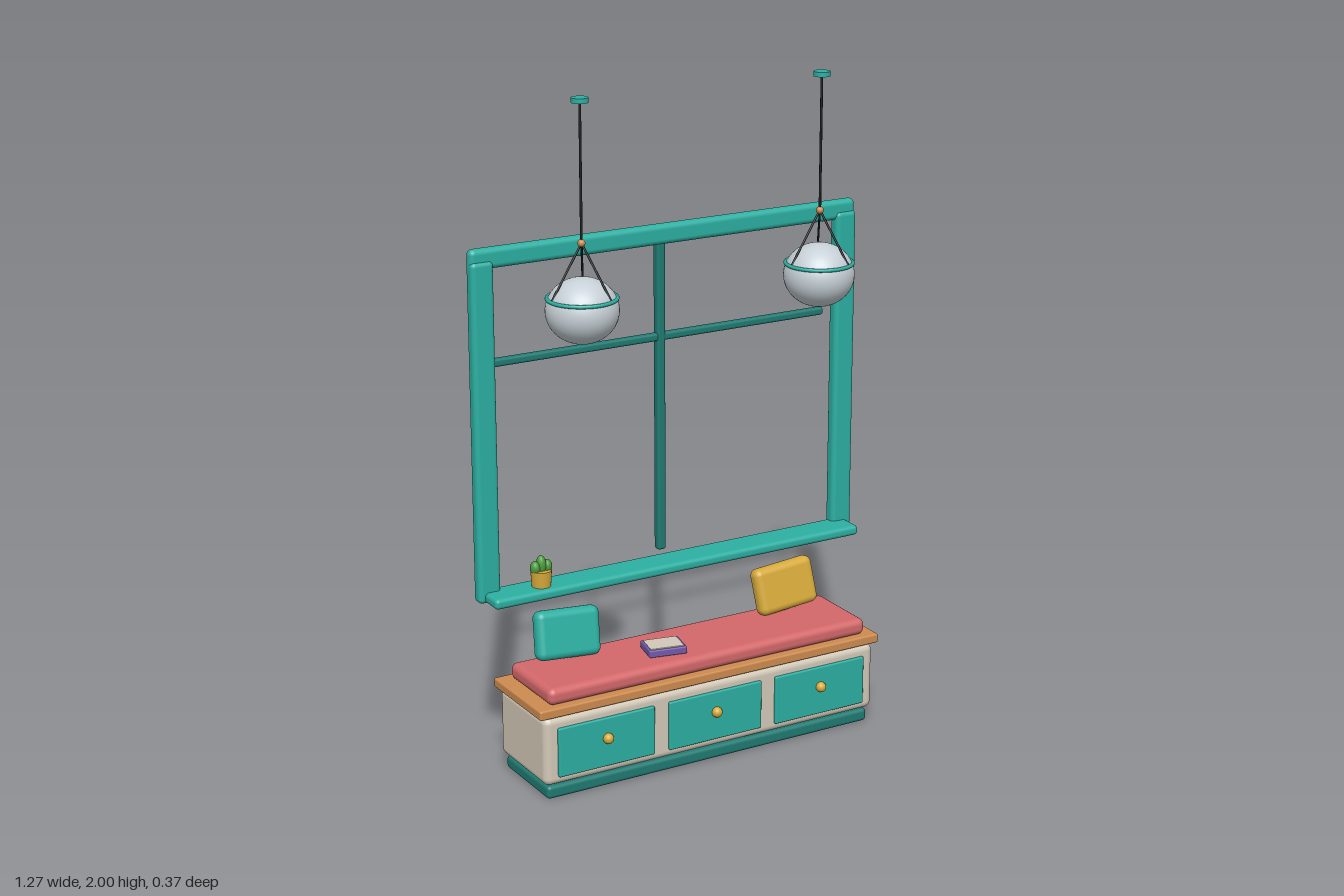
import * as THREE from 'three';
import { RoundedBoxGeometry } from 'three/addons/geometries/RoundedBoxGeometry.js';

const mat = (name, color) => {
  const m = new THREE.MeshStandardMaterial({ color });
  m.name = name;
  return m;
};

export function createModel() {
  const teal = mat('teal', 0x2cb0a2), darkTeal = mat('dark teal', 0x1f7a72);
  const cream = mat('cream', 0xd3c9b8), wood = mat('wood', 0xcd8b50);
  const coral = mat('coral', 0xd4686a), mustard = mat('mustard', 0xd6a93a);
  const purple = mat('purple', 0x7058a8), green = mat('green', 0x4a9a3c);
  const black = mat('black', 0x1c2024), glass = mat('pale grey', 0xc6d0d6);

  const model = new THREE.Group();
  const add = (parent, name, geometry, material, x = 0, y = 0, z = 0) => {
    const mesh = new THREE.Mesh(geometry, material);
    mesh.name = name;
    mesh.position.set(x, y, z);
    parent.add(mesh);
    return mesh;
  };
  // Rounded box given by its extents on each axis
  const block = (parent, name, material, [x0, x1], [y0, y1], [z0, z1], r) =>
    add(parent, name, new RoundedBoxGeometry(x1 - x0, y1 - y0, z1 - z0, 4, r), material,
      (x0 + x1) / 2, (y0 + y1) / 2, (z0 + z1) / 2);
  // Thin straight rod between two points
  const rod = (parent, name, a, b, r) => {
    const d = b.clone().sub(a);
    const m = add(parent, name, new THREE.CylinderGeometry(r, r, d.length(), 8), black);
    m.position.copy(a).add(b).multiplyScalar(0.5);
    m.quaternion.setFromUnitVectors(new THREE.Vector3(0, 1, 0), d.normalize());
  };
  const group = (name) => {
    const g = new THREE.Group();
    g.name = name;
    model.add(g);
    return g;
  };

  // Bench with three drawers
  const bench = group('bench');
  block(bench, 'plinth', darkTeal, [-0.548, 0.548], [0, 0.04], [-0.13, 0.132], 0.012);
  block(bench, 'cabinet', cream, [-0.56, 0.56], [0.045, 0.255], [-0.14, 0.143], 0.022);
  block(bench, 'benchTop', wood, [-0.575, 0.575], [0.255, 0.284], [-0.146, 0.146], 0.006);
  block(bench, 'seatCushion', coral, [-0.537, 0.537], [0.284, 0.335], [-0.117, 0.132], 0.02);
  for (const x of [-0.363, 0, 0.363]) {
    block(bench, 'drawerFront', teal, [x - 0.157, x + 0.157], [0.072, 0.222], [0.13, 0.152], 0.004);
    add(bench, 'drawerKnob', new THREE.SphereGeometry(0.016, 20, 14), mustard, x, 0.16, 0.156);
  }

  // Throw cushions leaning back
  for (const s of [-1, 1]) {
    const pillow = add(model, s < 0 ? 'tealPillow' : 'mustardPillow',
      new RoundedBoxGeometry(0.205, 0.145, 0.052, 5, 0.022),
      s < 0 ? teal : mustard, s * 0.373, 0.408, -0.071);
    pillow.rotation.set(-0.24, 0, s * 0.075);
  }

  // Book lying on the seat
  const book = group('book');
  book.position.set(-0.11, 0.335, 0.036);
  book.rotation.y = -0.2;
  block(book, 'cover', purple, [-0.058, 0.058], [0, 0.022], [-0.045, 0.045], 0.004);
  block(book, 'page', cream, [-0.051, 0.051], [0.018, 0.025], [-0.038, 0.038], 0.002);

  // Window frame, sill and glazing bars
  const win = group('window');
  for (const s of [-1, 1])
    add(win, 'sidePost', new RoundedBoxGeometry(0.07, 1.0, 0.041, 4, 0.014), teal, s * 0.6, 1.035, -0.12);
  block(win, 'topRail', teal, [-0.635, 0.635], [1.51, 1.57], [-0.141, -0.107], 0.016);
  block(win, 'sill', teal, [-0.617, 0.617], [0.537, 0.568], [-0.135, -0.032], 0.012);
  block(win, 'verticalBar', darkTeal, [-0.014, 0.014], [0.565, 1.505], [-0.187, -0.159], 0.008);
  block(win, 'crossBar', darkTeal, [-0.562, 0.562], [1.21, 1.234], [-0.184, -0.161], 0.008);

  // Potted cactus on the sill
  const plant = group('cactus');
  plant.position.set(-0.45, 0.568, -0.076);
  add(plant, 'pot', new THREE.CylinderGeometry(0.031, 0.028, 0.048, 24), mustard, 0, 0.024, 0);
  for (const [x, y, h] of [[0, 0.062, 0.03], [-0.019, 0.056, 0.021], [0.019, 0.056, 0.021]])
    add(plant, 'cactusLobe', new THREE.SphereGeometry(1, 16, 12), green, x, y, 0).scale.set(0.015, h, 0.016);

  // Hanging globe lamps
  for (const s of [-1, 1]) {
    const lamp = group(s < 0 ? 'rightLamp' : 'leftLamp');
    lamp.position.set(s * 0.387, 0, 0.075);
    add(lamp, 'ceilingCap', new THREE.CylinderGeometry(0.024, 0.024, 0.014, 24), teal, 0, 1.993, 0);
    const knot = new THREE.Vector3(0, 1.6, 0);
    rod(lamp, 'cord', knot, new THREE.Vector3(0, 1.988, 0), 0.0038);
    add(lamp, 'bead', new THREE.SphereGeometry(0.011, 16, 12), wood, 0, 1.6, 0);
    add(lamp, 'globe', new THREE.SphereGeometry(1, 40, 28), glass, 0, 1.411, 0).scale.set(0.103, 0.093, 0.103);
    const band = add(lamp, 'band', new THREE.TorusGeometry(0.097, 0.0055, 10, 48), teal, 0, 1.446, 0);
    band.rotation.x = Math.PI / 2;
    for (let i = 0; i < 3; i++) {
      const a = Math.PI + i * Math.PI * 2 / 3;
      rod(lamp, 'hanger', knot, new THREE.Vector3(Math.cos(a) * 0.094, 1.448, Math.sin(a) * 0.094), 0.0032);
    }
  }
  return model;
}
